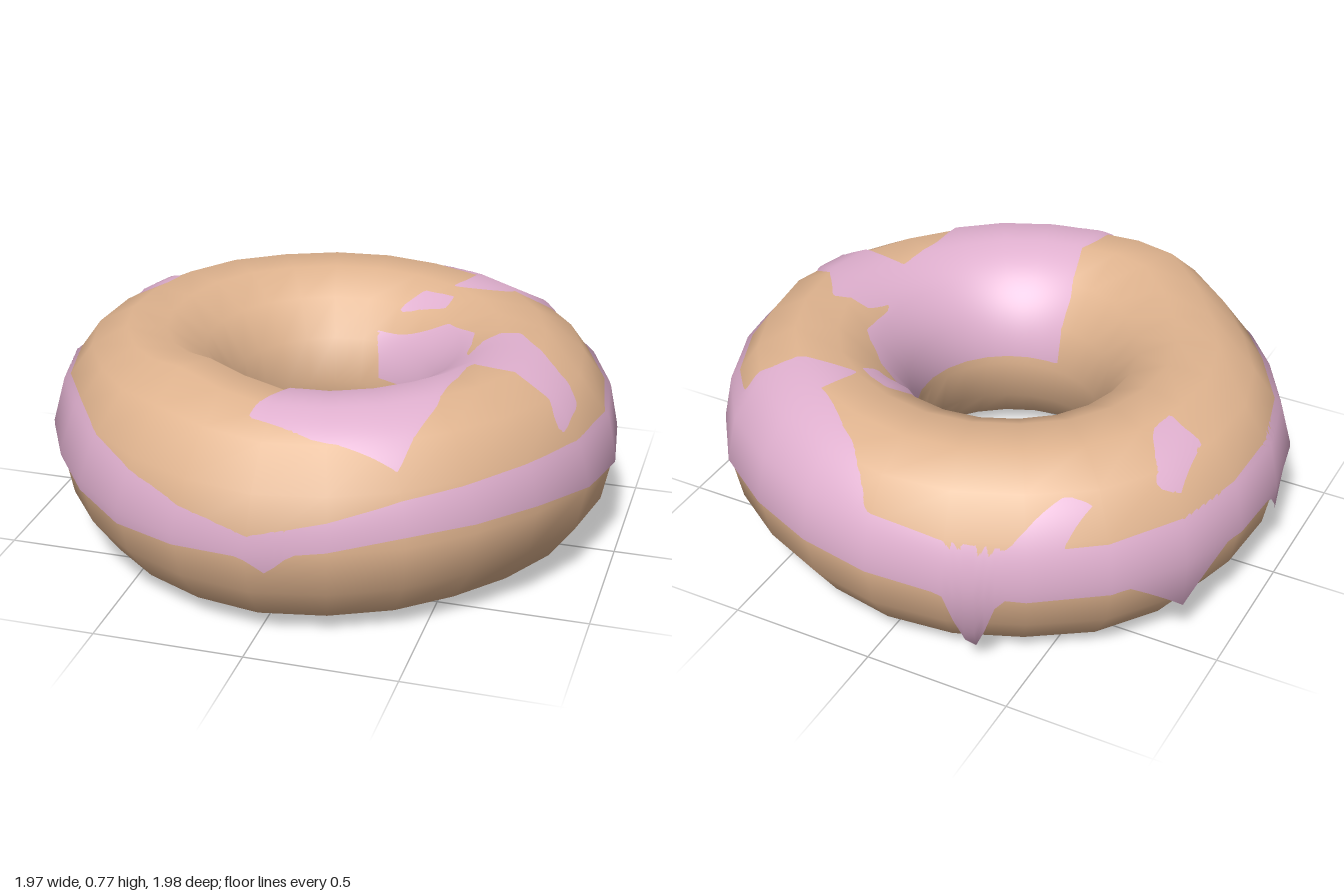
import * as THREE from 'three';

const { lerp, clamp, degToRad } = THREE.MathUtils;
const TAU = Math.PI * 2;
const MID = 0.365, HALF = 0.364; // height of the tube's centre, and half its thickness
const RING = 24, TUBE = 14; // facets round the ring and round the tube

// Value from a list spread evenly round the ring
function around(list, t) {
  const f = (t / TAU) * list.length, i = Math.floor(f);
  return lerp(list[i % list.length], list[(i + 1) % list.length], f - i);
}

// Uneven outer radius, every 15 degrees
const outerRadius = [0.975, 0.962, 0.935, 0.925, 0.94, 0.955, 0.972, 0.96, 0.945, 0.935, 0.935, 0.96,
  0.975, 0.99, 1.01, 1.015, 0.995, 0.995, 0.988, 0.972, 0.97, 0.985, 0.98, 0.975];

// Point on the ring: t runs round the ring, p round the tube (0 = outer, PI/2 = top).
function ringPoint(t, p, offset) {
  const c = Math.cos(p), s = Math.sin(p);
  const outer = around(outerRadius, t);
  const inner = 0.318 - 0.004 * Math.cos(t) - 0.033 * Math.sin(t); // hole sits towards the back
  let r = (outer + inner) / 2 + ((outer - inner) / 2 + offset) * c;
  // the front shoulder slopes more
  if (c > 0 && s > 0) r -= 0.055 * Math.max(0, Math.sin(t)) * 2 * s * c;
  const x = r * Math.cos(t), z = r * Math.sin(t);
  let y = MID + (HALF + offset) * s;
  // raised lump on the front of the top
  if (s > 0) y += 0.06 * s * Math.exp(-((x + 0.3) ** 2 + (z - 0.55) ** 2) / 0.04);
  return new THREE.Vector3(x, y, z);
}

// The same surface, but flat across each facet of the dough
function facetPoint(t, p, offset) {
  const dt = TAU / RING, dp = TAU / TUBE;
  const i = Math.floor(t / dt + 1e-6), j = Math.floor(p / dp);
  const side = (k) => ringPoint(k * dt, j * dp, offset)
    .lerp(ringPoint(k * dt, (j + 1) * dp, offset), p / dp - j);
  return side(i).lerp(side(i + 1), t / dt - i);
}

// Surface from a grid of points that wraps round the ring, and optionally round the tube.
// Smooth normals follow the round tube. tubeAngle gives p, lift the height above the dough.
function gridGeometry(cols, rows, closed, tubeAngle, lift) {
  const positions = [], normals = [], index = [];
  const count = closed ? rows : rows + 1;
  for (let i = 0; i < cols; i++)
    for (let j = 0; j < count; j++) {
      const t = (i / cols) * TAU, p = tubeAngle(t, j / rows);
      positions.push(...facetPoint(t, p, lift(t, p)));
      normals.push(Math.cos(p) * Math.cos(t), Math.sin(p), Math.cos(p) * Math.sin(t));
    }
  for (let i = 0; i < cols; i++)
    for (let j = 0; j < rows; j++) {
      const k = (j + 1) % count, n = (i + 1) % cols;
      const a = i * count + j, b = i * count + k, c = n * count + j, d = n * count + k;
      index.push(a, b, c, b, d, c);
    }
  const g = new THREE.BufferGeometry();
  g.setAttribute('position', new THREE.Float32BufferAttribute(positions, 3));
  g.setAttribute('normal', new THREE.Float32BufferAttribute(normals, 3));
  g.setIndex(index);
  return g;
}

// Icing patches seen from above, as [x, z] outlines
const patches = [
  [[-0.03, 0.15], [-0.04, 0.38], [0, 0.55], [-0.06, 0.72], [0.15, 0.75], [0.42, 0.72], [0.48, 0.5],
    [0.52, 0.17], [0.78, 0.22], [0.85, 0.28], [0.88, 0.12], [0.72, 0], [0.63, -0.13], [0.5, -0.1],
    [0.46, 0], [0.45, -0.2], [0.33, -0.32], [0.05, -0.4], [0.1, -0.25]],
  [[0, -1.1], [0, -0.97], [0.15, -0.8], [0.25, -0.72], [0.36, -0.63], [0.3, -0.5], [0.5, -0.5],
    [0.75, -0.6], [0.9, -0.7], [0.6, -1]],
  [[0.12, -0.43], [0.2, -0.5], [0.32, -0.45], [0.3, -0.4]],
  [[-0.83, -0.45], [-0.77, -0.5], [-0.68, -0.35], [-0.7, -0.25], [-0.82, -0.27]],
  [[-0.63, -0.67], [-0.58, -0.8], [-0.4, -0.92], [-0.55, -0.7]],
];

// Distance inside (+) or outside (-) an outline
function insideDistance(poly, x, z) {
  let inside = false, best = Infinity;
  poly.forEach(([ax, az], i) => {
    const [bx, bz] = poly[(i + 1) % poly.length];
    const dx = bx - ax, dz = bz - az;
    const u = clamp(((x - ax) * dx + (z - az) * dz) / (dx * dx + dz * dz), 0, 1);
    best = Math.min(best, Math.hypot(x - ax - u * dx, z - az - u * dz));
    if (az > z !== bz > z && x < ax + (dx * (z - az)) / dz) inside = !inside;
  });
  return inside ? best : -best;
}

// Heights of the band of icing round the outside, every 30 degrees
const bandTop = [0.53, 0.52, 0.5, 0.41, 0.49, 0.55, 0.54, 0.52, 0.5, 0.55, 0.6, 0.56];
const bandBottom = [0.35, 0.39, 0.4, 0.35, 0.32, 0.35, 0.35, 0.35, 0.33, 0.36, 0.36, 0.37];

// Drips along the lower edge: angle in degrees, depth, half width in radians
const drips = [[86, 0.06, 0.08], [178, 0.1, 0.08], [210, 0.14, 0.2], [250, 0.24, 0.09]];

// Tube angle of the icing, from its lower edge (v = 0) over the top into the hole (v = 1)
function icingAngle(t, v) {
  let y = around(bandBottom, t);
  for (const [angle, depth, width] of drips)
    y -= depth * Math.max(0, 1 - Math.abs(t - degToRad(angle)) / width);
  return lerp(Math.asin((y - MID) / HALF), 3.05, v);
}

// Icing rises out of the dough inside the patches, sinks below it elsewhere; drips hang free
function icingLift(t, p) {
  const { x, y, z } = ringPoint(t, p, 0);
  let d = p < Math.PI / 2 ? around(bandTop, t) - y : -1;
  for (const poly of patches) if (y > 0.5 || p > 1.6) d = Math.max(d, insideDistance(poly, x, z));
  return clamp(d * 0.7, -0.01, 0.009) + 0.06 * Math.max(0, -p);
}

export function createModel() {
  const group = new THREE.Group();
  group.name = 'doughnut';

  // Dough ring
  const dough = new THREE.Mesh(
    gridGeometry(RING, TUBE, true, (t, v) => v * TAU, () => 0),
    new THREE.MeshStandardMaterial({ color: 0xe0b48f }));
  dough.name = 'dough';

  // Icing shell over the upper half
  const icing = new THREE.Mesh(
    gridGeometry(RING * 8, 64, false, icingAngle, icingLift),
    new THREE.MeshStandardMaterial({ color: 0xe0b0cf, side: THREE.DoubleSide }));
  icing.name = 'icing';

  group.add(dough, icing);
  return group;
}
